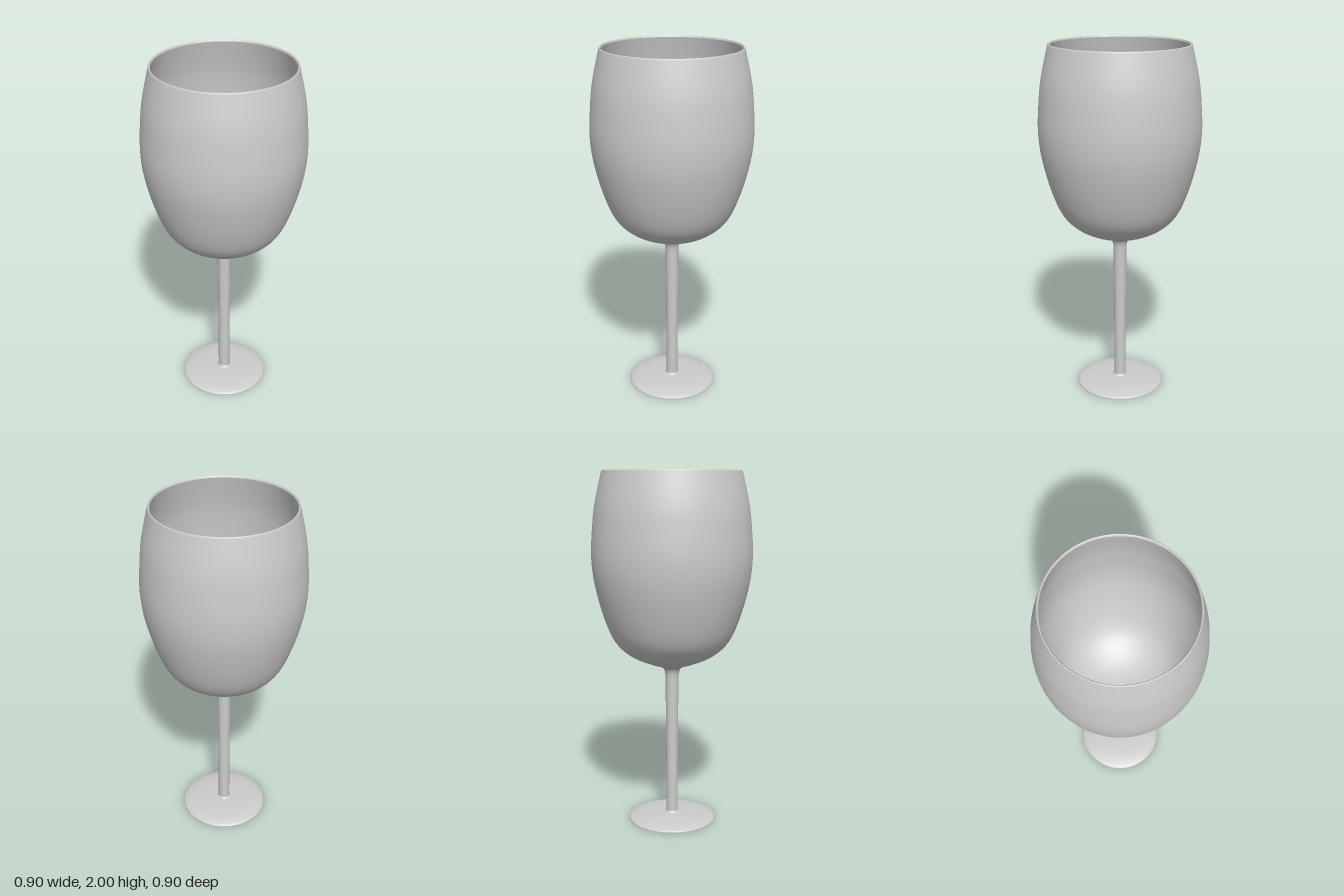
import * as THREE from 'three';

const SEGMENTS = 64;

// Smooth profile through [radius, height] points
const smooth = (pts, n) =>
  new THREE.SplineCurve(pts.map(([r, y]) => new THREE.Vector2(r, y))).getPoints(n);

export function createModel() {
  const group = new THREE.Group();
  const glass = new THREE.MeshStandardMaterial({ color: 0xcccccc });
  glass.name = 'pale grey';

  const add = (name, geometry) => {
    const mesh = new THREE.Mesh(geometry, glass);
    mesh.name = name;
    group.add(mesh);
    return mesh;
  };
  const lathe = (name, points) => add(name, new THREE.LatheGeometry(points, SEGMENTS));

  // Bowl outside, flaring out of the stem and closing in towards the rim
  const outer = smooth([
    [0.037, 0.84], [0.041, 0.875], [0.06, 0.903], [0.125, 0.925], [0.24, 0.977],
    [0.325, 1.06], [0.385, 1.2], [0.432, 1.38], [0.448, 1.53], [0.441, 1.68],
    [0.425, 1.82], [0.387, 1.99],
  ], 44);
  lathe('bowlOutside', outer);

  // Rounded lip
  lathe('rim', smooth([[0.387, 1.99], [0.385, 1.997], [0.381, 2], [0.377, 1.997], [0.374, 1.99]], 8));

  // Bowl inside, from the lip down to the floor
  const inner = smooth([
    [0.374, 1.99], [0.411, 1.82], [0.427, 1.68], [0.434, 1.53], [0.418, 1.38],
    [0.371, 1.2], [0.312, 1.07], [0.23, 0.992], [0.12, 0.942], [0, 0.925],
  ], 40);
  inner[inner.length - 1].x = 0;
  lathe('bowlInside', inner);

  // Slim stem, slightly narrower at the foot
  lathe('stem', smooth([[0.042, 0.034], [0.034, 0.045], [0.033, 0.07], [0.034, 0.4], [0.037, 0.84]], 20));

  // Shallow domed foot
  lathe('foot', smooth([
    [0.25, 0], [0.249, 0.006], [0.235, 0.014], [0.19, 0.025], [0.12, 0.032], [0.042, 0.035], [0.03, 0.036],
  ], 18));

  // Flat underside of the foot
  add('footUnderside', new THREE.CircleGeometry(0.25, SEGMENTS)).rotation.x = Math.PI / 2;

  return group;
}
